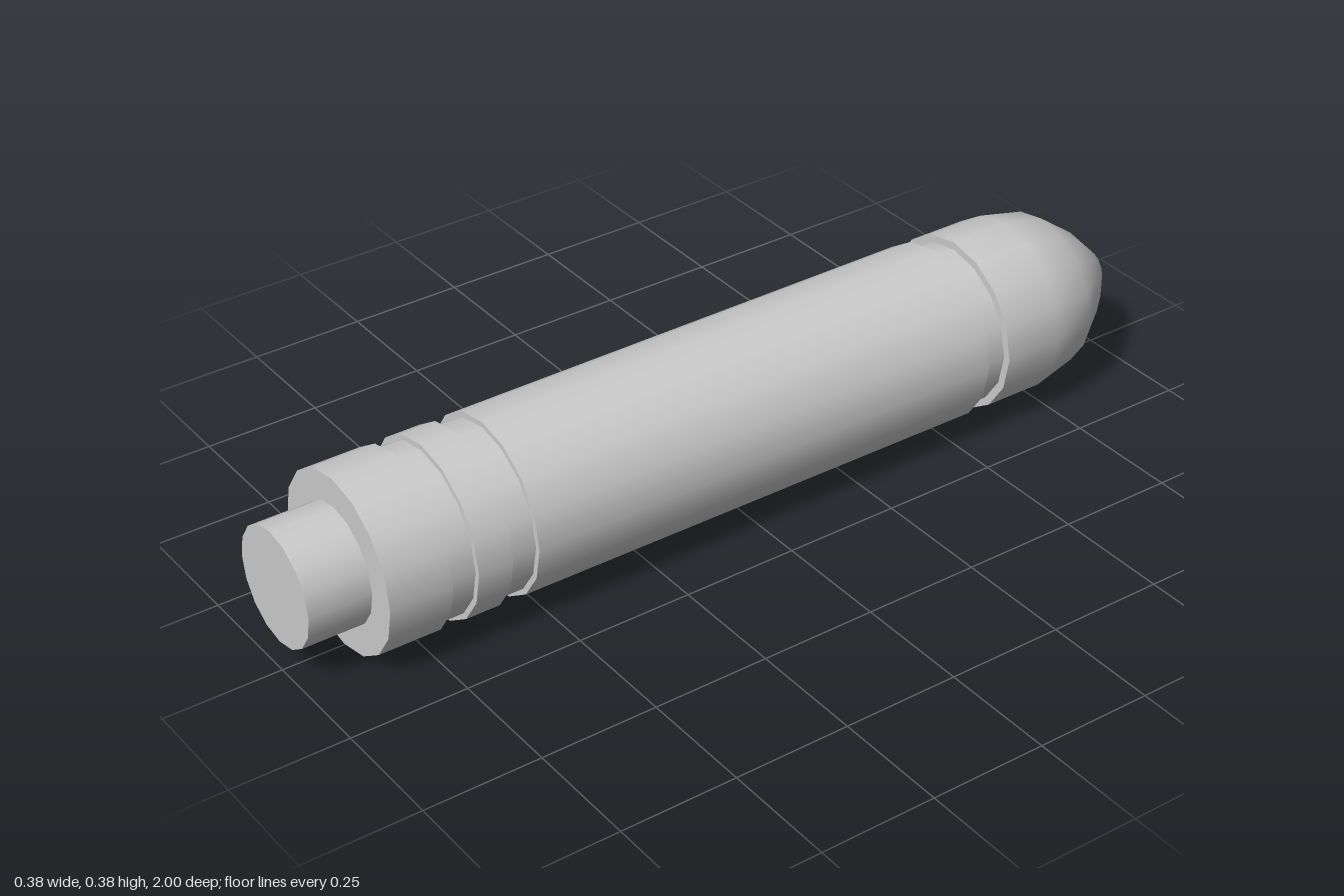
import * as THREE from 'three';

const SIDES = 16;
const AXIS_Y = 0.1935; // height of the long axis

export function createModel() {
  const group = new THREE.Group();
  const material = new THREE.MeshStandardMaterial({ color: 0xcccccc });

  function add(name, geometry) {
    const mesh = new THREE.Mesh(geometry, material);
    mesh.name = name;
    mesh.position.y = AXIS_Y;
    group.add(mesh);
  }

  // Cylinder along z between two stations, with a radius at each end
  function section(name, zFront, zBack, rFront, rBack = rFront) {
    const g = new THREE.CylinderGeometry(rBack, rFront, zFront - zBack, SIDES);
    g.rotateX(-Math.PI / 2);
    g.translate(0, 0, (zFront + zBack) / 2);
    add(name, g);
  }

  section('endStub', 1, 0.867, 0.124);
  section('endCollar', 0.867, 0.733, 0.188);
  section('frontGroove', 0.733, 0.677, 0.176);
  section('middleBand', 0.677, 0.602, 0.188);
  section('bodyGroove', 0.602, 0.544, 0.176);
  section('mainBody', 0.544, -0.543, 0.188, 0.19);
  section('noseGroove', -0.543, -0.597, 0.173);

  // Rounded nose: [radius, distance towards the back]
  const profile = [
    [0.19, 0.597], [0.19, 0.73], [0.168, 0.833], [0.106, 0.918],
    [0.045, 0.977], [0.018, 0.996], [0, 1],
  ].map(([r, d]) => new THREE.Vector2(r, d));
  add('nose', new THREE.LatheGeometry(profile, SIDES).rotateX(-Math.PI / 2));

  // Flat shoulder of the nose facing the groove
  add('noseShoulder', new THREE.RingGeometry(0.16, 0.19, SIDES).translate(0, 0, -0.597));

  return group;
}
